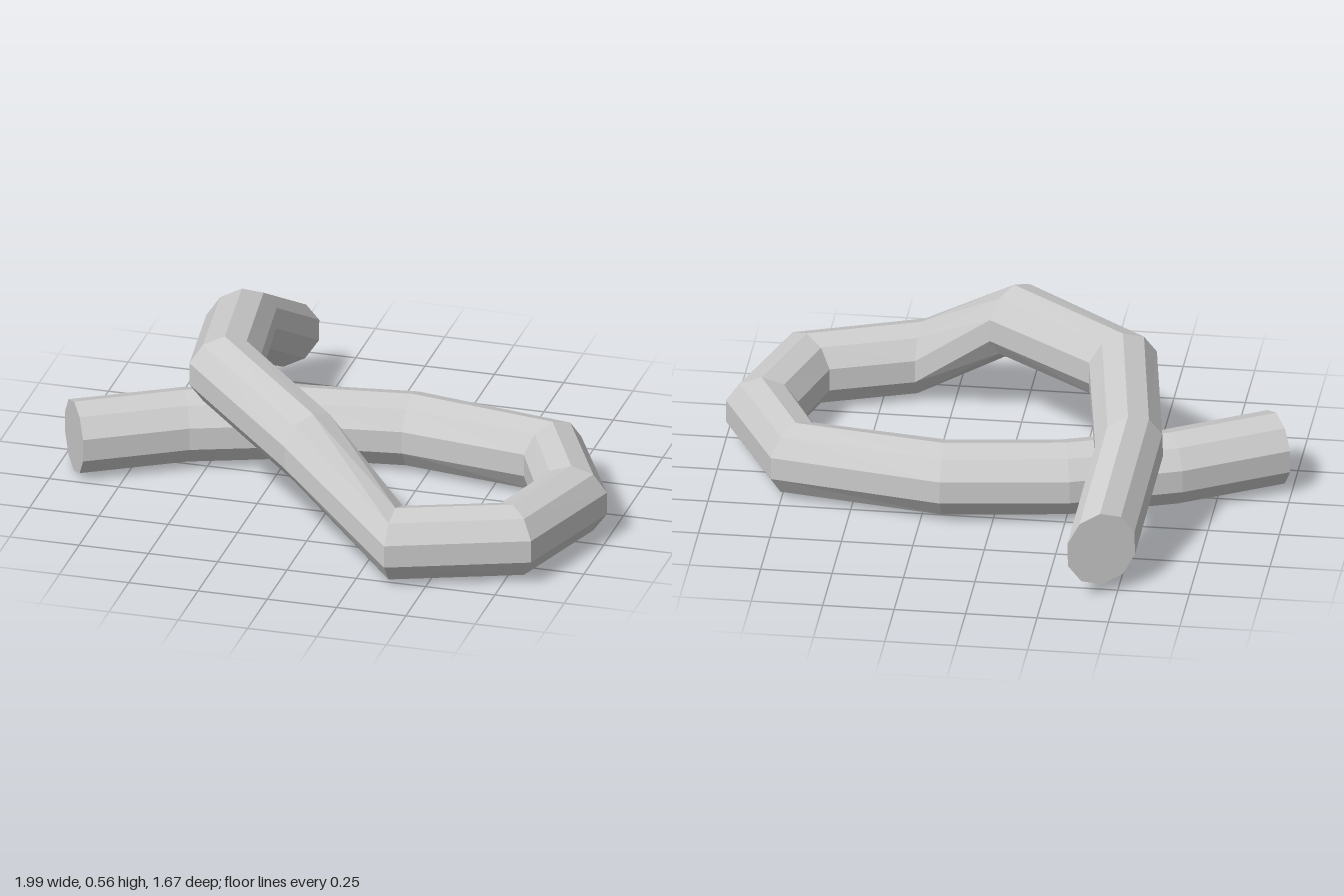
import * as THREE from 'three';

const SIDES = 10;
const RADIUS = 0.132;

// Centre line of the knotted tube
const PATH = [
  [-0.935, 0.132, 0.163], [-0.595, 0.132, -0.035], [-0.24, 0.132, -0.163],
  [0.175, 0.132, -0.22], [0.707, 0.132, -0.132], [0.87, 0.132, 0.202],
  [0.76, 0.132, 0.562], [0.378, 0.132, 0.703], [0.032, 0.378, 0.542],
  [-0.405, 0.428, 0.115], [-0.495, 0.37, -0.41], [-0.445, 0.168, -0.775],
].map((p) => new THREE.Vector3(...p));

// Upright rings face along the level bisector; the last two keep a fixed twist
function ringNormal(i) {
  if (i >= PATH.length - 2) return new THREE.Vector3(-0.49, 0.08, -0.87).normalize();
  const n = new THREE.Vector3();
  for (const k of [i - 1, i]) {
    if (k < 0) continue;
    n.add(PATH[k + 1].clone().sub(PATH[k]).setY(0).normalize());
  }
  return n.normalize();
}

// Circular cross-section with a corner at the top
function ring(center, normal) {
  const side = new THREE.Vector3(0, 1, 0).cross(normal).normalize();
  const up = normal.clone().cross(side);
  return Array.from({ length: SIDES }, (_, j) => {
    const a = Math.PI / 2 + (j / SIDES) * Math.PI * 2;
    return center.clone()
      .addScaledVector(side, RADIUS * Math.cos(a))
      .addScaledVector(up, RADIUS * Math.sin(a));
  });
}

export function createModel() {
  const rings = PATH.map((p, i) => ring(p, ringNormal(i)));
  const pos = [];
  const tri = (...pts) => pts.forEach((p) => pos.push(p.x, p.y, p.z));
  const last = PATH.length - 1;

  for (let j = 0; j < SIDES; j++) {
    const k = (j + 1) % SIDES;
    // Tube wall
    for (let i = 0; i < last; i++) {
      const [r, s] = [rings[i], rings[i + 1]];
      tri(r[j], r[k], s[k]);
      tri(r[j], s[k], s[j]);
    }
    // End caps
    tri(PATH[0], rings[0][k], rings[0][j]);
    tri(PATH[last], rings[last][j], rings[last][k]);
  }

  const geometry = new THREE.BufferGeometry();
  geometry.setAttribute('position', new THREE.Float32BufferAttribute(pos, 3));
  geometry.computeVertexNormals();

  const tube = new THREE.Mesh(
    geometry,
    new THREE.MeshStandardMaterial({ color: 0xcccccc, flatShading: true }),
  );
  tube.name = 'knottedTube';

  const group = new THREE.Group();
  group.name = 'knot';
  group.add(tube);
  return group;
}
